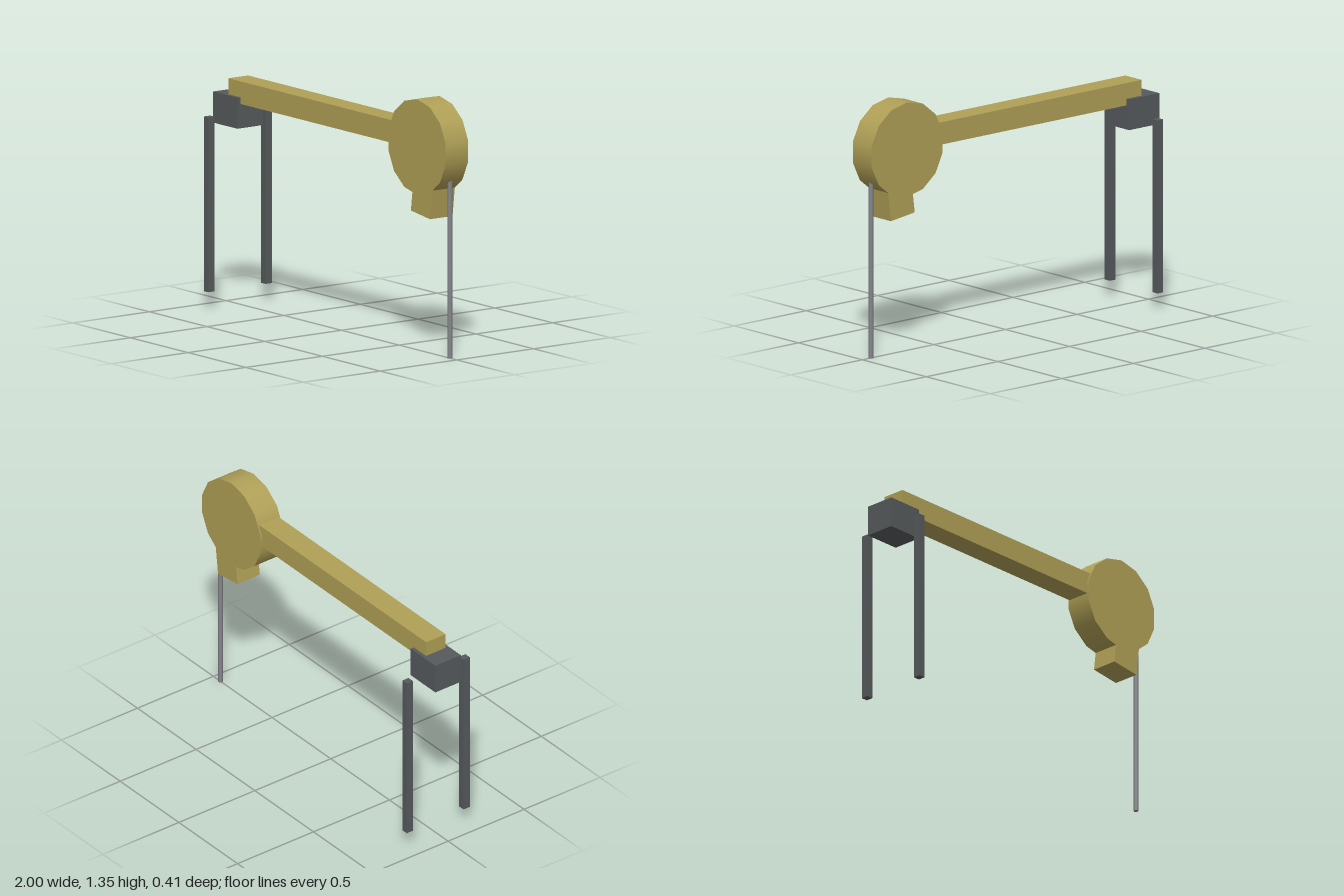
import * as THREE from 'three';

export function createModel() {
  const model = new THREE.Group();
  const material = (name, color) => {
    const m = new THREE.MeshStandardMaterial({ color });
    m.name = name;
    return m;
  };
  const gold = material('gold', 0xb0a056);
  const darkGrey = material('dark grey', 0x565a5c);
  const steel = material('steel grey', 0x86878c);

  const add = (name, geometry, mat, x, y, z = 0) => {
    const mesh = new THREE.Mesh(geometry, mat);
    mesh.name = name;
    mesh.position.set(x, y, z);
    model.add(mesh);
    return mesh;
  };

  // Long horizontal beam resting on the end block
  add('beam', new THREE.BoxGeometry(1.46, 0.12, 0.128), gold, -0.165, 1.145);
  add('endBlock', new THREE.BoxGeometry(0.21, 0.165, 0.168), darkGrey, -0.895, 1.038);

  // Pair of rear legs standing clear of the block
  for (const side of [1, -1]) {
    add(side > 0 ? 'frontLeg' : 'backLeg',
      new THREE.BoxGeometry(0.038, 0.928, 0.041), darkGrey, -0.897, 0.552, side * 0.187);
  }

  // Fourteen-sided disc head, a corner pointing straight up
  const disc = new THREE.CylinderGeometry(0.254, 0.254, 0.147, 14);
  disc.rotateX(-Math.PI / 2);
  add('head', disc, gold, 0.7525, 1.1);

  // Slightly tilted stub below the head
  const stub = add('stub', new THREE.BoxGeometry(0.167, 0.2, 0.147), gold, 0.795, 0.844);
  stub.rotation.z = -0.125;

  // Thin support rod running up into the head
  add('rod', new THREE.CylinderGeometry(0.0125, 0.0125, 1, 8), steel, 0.94, 0.5);

  return model;
}
